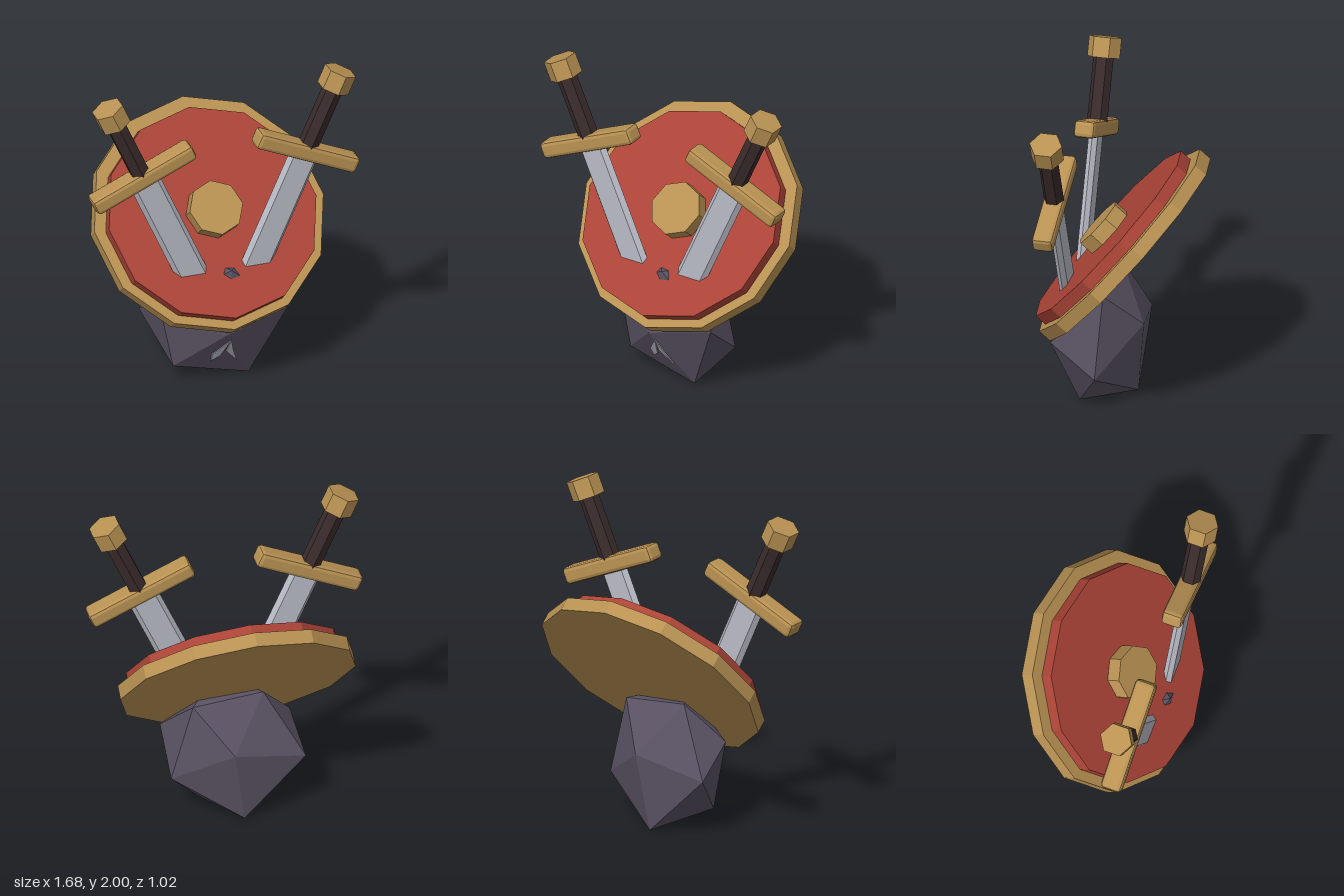
import * as THREE from 'three';
import { RoundedBoxGeometry } from 'three/addons/geometries/RoundedBoxGeometry.js';

const material = (name, color, extra = {}) => {
  const m = new THREE.MeshStandardMaterial({ color, flatShading: true, ...extra });
  m.name = name;
  return m;
};

function add(parent, name, geometry, mat, x = 0, y = 0, z = 0) {
  const mesh = new THREE.Mesh(geometry, mat);
  mesh.name = name;
  mesh.position.set(x, y, z);
  parent.add(mesh);
  return mesh;
}

// Irregular twenty-sided boulder: front point, two rings of five, back point
function rockGeometry() {
  const front = [-0.03, 0.36, 0.40];
  const ring1 = [[-0.29, 0.107, 0.2], [0.18, 0, 0.22], [0.38, 0.46, 0.35], [0.03, 0.77, 0.35], [-0.38, 0.55, 0.2]];
  const ring2 = [[-0.03, 0, -0.09], [0.38, 0.24, 0.08], [0.25, 0.74, 0.06], [-0.18, 0.79, 0.05], [-0.41, 0.38, -0.08]];
  const back = [0.04, 0.48, -0.14];
  const points = [];
  for (let i = 0; i < 5; i++) {
    const j = (i + 1) % 5;
    points.push(front, ring1[i], ring1[j]);
    points.push(ring1[i], ring2[i], ring1[j]);
    points.push(ring2[i], ring2[j], ring1[j]);
    points.push(back, ring2[j], ring2[i]);
  }
  const g = new THREE.BufferGeometry();
  g.setAttribute('position', new THREE.Float32BufferAttribute(points.flat(), 3));
  g.computeVertexNormals();
  return g;
}

// Thin shard lying on the sloping lower front face of the boulder
function shardGeometry(outline) {
  const shape = new THREE.Shape(outline.map(([x, y]) => new THREE.Vector2(x, y)));
  const g = new THREE.ExtrudeGeometry(shape, { depth: 0.009, bevelEnabled: false });
  const a = new THREE.Vector3(-0.03, 0.36, 0.40);
  const n = new THREE.Vector3(-0.26, -0.253, -0.2)
    .cross(new THREE.Vector3(0.21, -0.36, -0.18)).normalize();
  const p = g.attributes.position;
  for (let i = 0; i < p.count; i++) {
    const slope = a.z - (n.x * (p.getX(i) - a.x) + n.y * (p.getY(i) - a.y)) / n.z;
    p.setZ(i, slope + p.getZ(i) + 0.003);
  }
  g.computeVertexNormals();
  return g;
}

// Flat blade with bevelled edges, running down from the guard
function bladeGeometry(length) {
  const section = [[-0.096, 0], [-0.07, -0.028], [0.07, -0.028], [0.096, 0], [0.07, 0.028], [-0.07, 0.028]];
  const shape = new THREE.Shape(section.map(([x, y]) => new THREE.Vector2(x, y)));
  return new THREE.ExtrudeGeometry(shape, { depth: length, bevelEnabled: false }).rotateX(Math.PI / 2);
}

export function createModel() {
  const gold = material('gold', 0xb99253);
  const red = material('red', 0xac4437);
  const steel = material('steel', 0xb9bbc6);
  const leather = material('dark leather', 0x3a2b2b);
  const stone = material('stone', 0x5a5263);

  const model = new THREE.Group();
  model.name = 'shieldAndSwords';

  // Boulder and shards
  add(model, 'boulder', rockGeometry(), stone);
  add(model, 'shardLeft', shardGeometry([[0.01, 0.325], [-0.08, 0.2], [-0.075, 0.14], [-0.03, 0.18]]), steel);
  add(model, 'shardRight', shardGeometry([[0.01, 0.325], [0.0, 0.22], [0.08, 0.13], [0.04, 0.23]]), steel);

  // Shield leaning back on the boulder
  const shield = new THREE.Group();
  shield.name = 'shield';
  shield.position.set(0, 1.0, 0.02);
  shield.rotation.x = THREE.MathUtils.degToRad(50);
  model.add(shield);
  const disc = (r, bottom, top, sides) =>
    new THREE.CylinderGeometry(r, r, top - bottom, sides).translate(0, (top + bottom) / 2, 0);
  add(shield, 'shieldRim', disc(0.725, -0.087, 0, 12), gold);
  add(shield, 'shieldFace', disc(0.656, -0.02, 0.076, 12), red, 0, 0, 0.016);
  add(shield, 'shieldBoss', disc(0.168, 0.05, 0.169, 8), gold, 0, 0, 0.007);

  // Mirrored pair of swords pushed through the shield
  for (const side of [1, -1]) {
    const sword = new THREE.Group();
    sword.name = side > 0 ? 'swordLeft' : 'swordRight';
    sword.position.set(side * 0.517, 1.468, 0.29);
    sword.rotation.z = -side * THREE.MathUtils.degToRad(24);
    model.add(sword);
    add(sword, 'blade', bladeGeometry(1.05), steel);
    add(sword, 'guard', new RoundedBoxGeometry(0.685, 0.104, 0.128, 1, 0.024), gold);
    add(sword, 'grip', new THREE.CylinderGeometry(0.062, 0.062, 0.4, 6), leather, 0, 0.235);
    add(sword, 'pommel', new THREE.CylinderGeometry(0.1, 0.1, 0.123, 6), gold, 0, 0.484);
  }
  return model;
}
